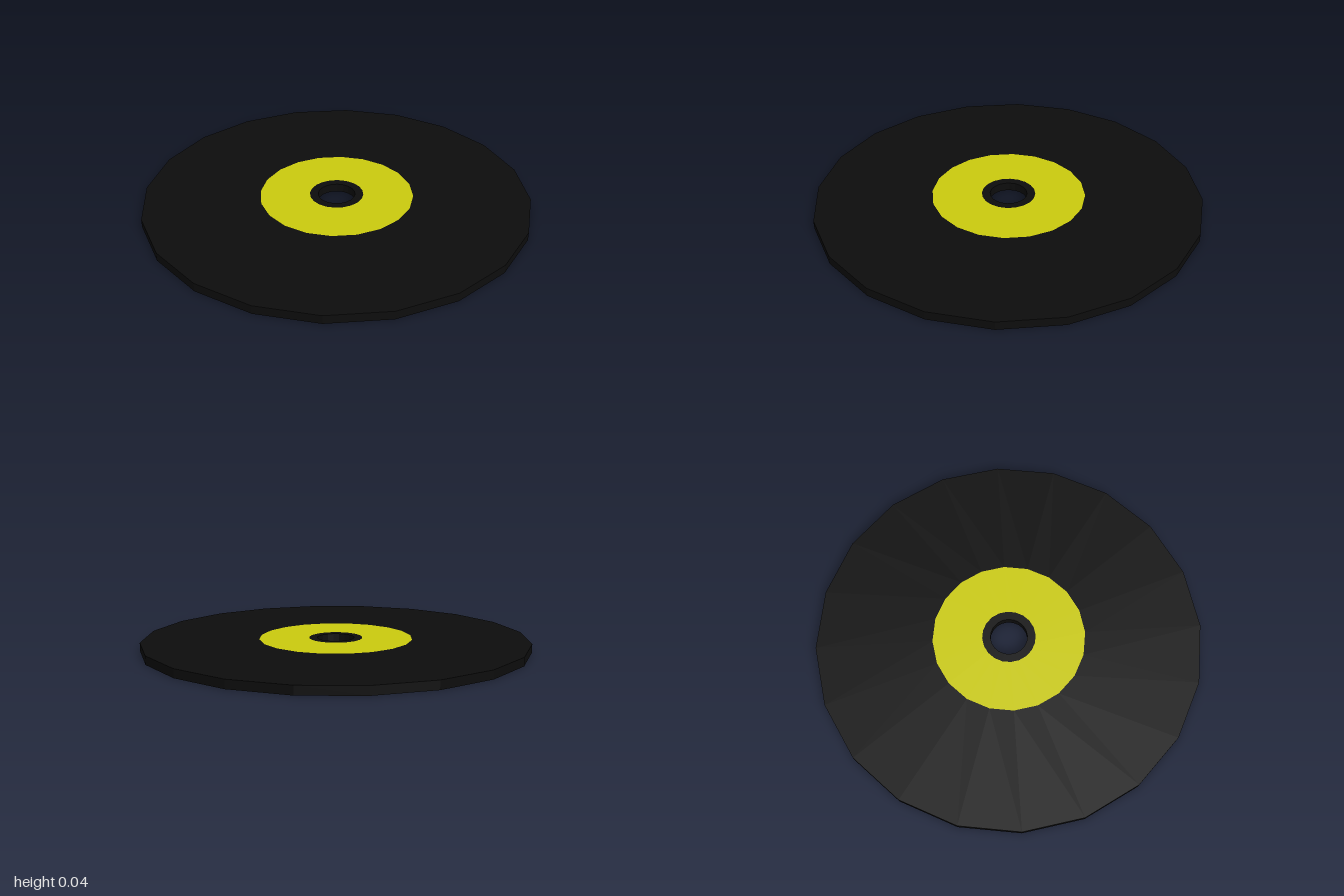
import * as THREE from 'three';

const SIDES = 20;
const THICKNESS = 0.044;
const RADII = { hole: 0.096, hub: 0.139, label: 0.397, rim: 1 };

// Revolves a profile of [radius, height] points into a faceted ring
function ring(name, color, profile) {
  const points = profile.map(([r, y]) => new THREE.Vector2(r, y));
  const material = new THREE.MeshStandardMaterial({ color, flatShading: true });
  const mesh = new THREE.Mesh(new THREE.LatheGeometry(points, SIDES), material);
  mesh.name = name;
  return mesh;
}

export function createModel() {
  const group = new THREE.Group();
  group.name = 'record';
  const { hole, hub, label, rim } = RADII;
  const black = 0x0d0d0d;
  const yellow = 0xcccc0e;
  const top = THICKNESS;

  // Outer disc: underside, rim wall and upper face
  group.add(ring('disc', black, [[label, 0], [rim, 0], [rim, top], [label, top]]));

  // Label rings set flush in both faces
  group.add(ring('labelTop', yellow, [[label, top], [hub, top]]));
  group.add(ring('labelBottom', yellow, [[hub, 0], [label, 0]]));

  // Centre ring with the wall of the spindle hole
  group.add(ring('hub', black, [[hub, top], [hole, top], [hole, 0], [hub, 0]]));

  return group;
}
